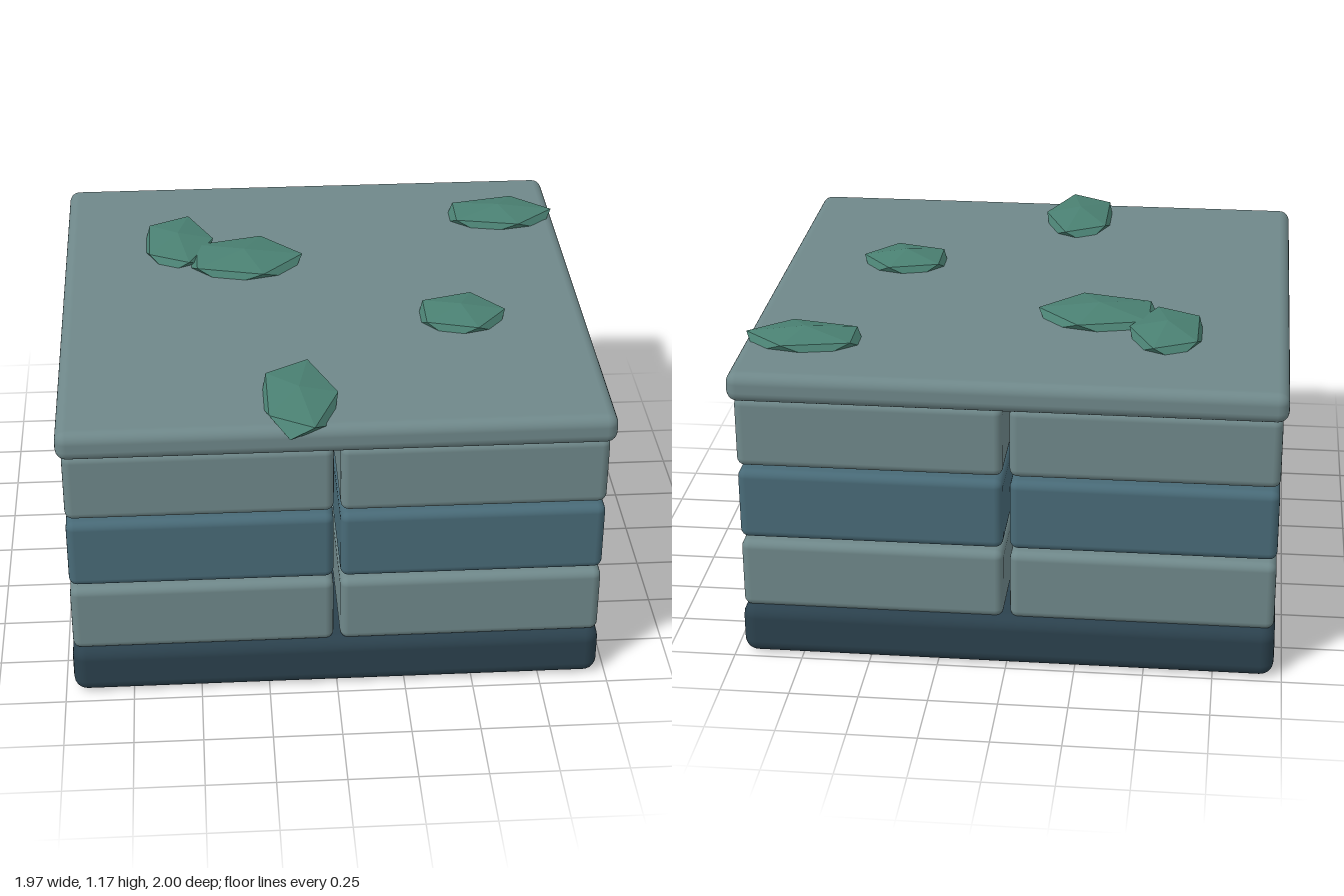
import * as THREE from 'three';
import { RoundedBoxGeometry } from 'three/addons/geometries/RoundedBoxGeometry.js';
import { ConvexGeometry } from 'three/addons/geometries/ConvexGeometry.js';

const material = (color, flatShading = false) => new THREE.MeshStandardMaterial({ color, flatShading });
const stone = material(0x6f888a);
const blueStone = material(0x486a77);
const darkStone = material(0x2b414d);
const moss = material(0x4a8072, true);

// Rounded slab given by its x, y and z ranges
function slab(name, [x0, x1], [y0, y1], [z0, z1], radius, mat) {
  const mesh = new THREE.Mesh(new RoundedBoxGeometry(x1 - x0, y1 - y0, z1 - z0, 3, radius), mat);
  mesh.position.set((x0 + x1) / 2, (y0 + y1) / 2, (z0 + z1) / 2);
  mesh.name = name;
  return mesh;
}

// Icosahedron standing on a vertex: two poles and two staggered rings of five
function clumpGeometry() {
  const points = [new THREE.Vector3(0, 1, 0), new THREE.Vector3(0, -1, 0)];
  for (let i = 0; i < 10; i++) {
    const angle = (i * Math.PI) / 5;
    const y = i % 2 ? -0.447 : 0.447;
    points.push(new THREE.Vector3(0.894 * Math.cos(angle), y, 0.894 * Math.sin(angle)));
  }
  return new ConvexGeometry(points);
}

export function createModel() {
  const model = new THREE.Group();
  model.name = 'stoneBlock';

  // Base and cap
  model.add(slab('base', [-0.97, 0.97], [0, 0.195], [-0.985, 0.955], 0.05, darkStone));
  model.add(slab('capSlab', [-0.983, 0.983], [1.01, 1.12], [-1, 0.967], 0.04, stone));

  // Three courses, each of two long blocks side by side
  const courses = [[0.185, 0.45], [0.464, 0.732], [0.748, 1.014]];
  courses.forEach((yRange, i) => {
    const mat = i === 1 ? blueStone : stone;
    model.add(slab('leftBlock', [0.012, 0.965], yRange, [-0.962, 0.935], 0.03, mat));
    model.add(slab('rightBlock', [-0.965, -0.012], yRange, [-0.962, 0.935], 0.03, mat));
  });

  // Flat moss clumps on the cap: x, z, x radius, z radius
  const geometry = clumpGeometry();
  const clumps = [
    [-0.54, -0.465, 0.155, 0.24],
    [-0.283, -0.31, 0.255, 0.194],
    [0.758, -0.645, 0.243, 0.153],
    [0.512, 0.19, 0.187, 0.165],
    [-0.126, 0.762, 0.155, 0.28],
  ];
  for (const [x, z, rx, rz] of clumps) {
    const clump = new THREE.Mesh(geometry, moss);
    clump.name = 'mossClump';
    clump.position.set(x, 1.12, z);
    clump.scale.set(rx, 0.052, rz);
    model.add(clump);
  }
  return model;
}
